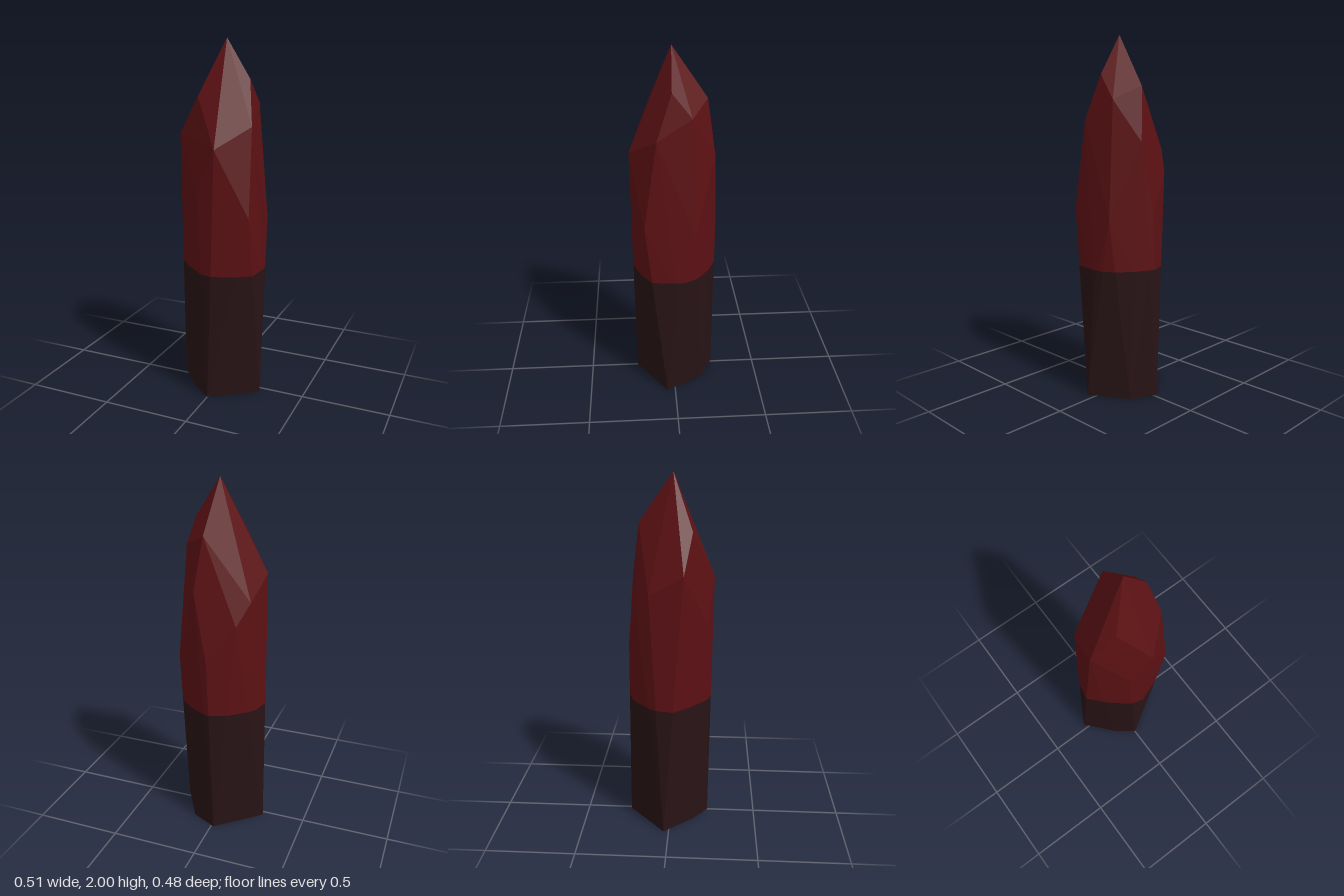
import * as THREE from 'three';
import { ConvexGeometry } from 'three/addons/geometries/ConvexGeometry.js';

const CUT = 0.74; // height where the dark base meets the red tip

// Corners of the cut stone
const corners = [
  // tip and its facets
  [0.03, 2, 0.01], [0.165, 1.79, 0.015], [0.18, 1.66, -0.09], [0.053, 1.73, -0.178],
  [-0.09, 1.7, 0.12], [0.208, 1.55, 0.095],
  // shoulder
  [-0.218, 1.49, 0.078], [0.053, 1.44, 0.238], [0.095, 1.44, -0.218],
  [-0.185, 1.38, -0.11], [-0.128, 1.26, -0.182], [-0.063, 1.2, 0.205],
  // girdle
  [0.222, 1.07, 0.165], [0.23, 1.02, -0.11], [0.02, 1.05, -0.24], [0.25, 0.65, -0.01],
  // six-sided foot
  [0, 0, 0.22], [0.255, 0, 0.045], [0.13, 0, -0.17],
  [-0.015, 0, -0.24], [-0.256, 0, -0.03], [-0.11, 0, 0.135],
].map((c) => new THREE.Vector3(...c));

// Keep only the part of a triangle soup above (side 1) or below (side -1) the cut
function clip(geometry, side) {
  const pos = geometry.getAttribute('position');
  const out = [];
  for (let i = 0; i < pos.count; i += 3) {
    const tri = [0, 1, 2].map((k) => new THREE.Vector3().fromBufferAttribute(pos, i + k));
    const poly = [];
    tri.forEach((a, k) => {
      const b = tri[(k + 1) % 3];
      const da = (a.y - CUT) * side;
      const db = (b.y - CUT) * side;
      if (da >= 0) poly.push(a);
      if (da * db < 0) poly.push(a.clone().lerp(b, da / (da - db)));
    });
    for (let k = 1; k + 1 < poly.length; k++) {
      for (const p of [poly[0], poly[k], poly[k + 1]]) out.push(p.x, p.y, p.z);
    }
  }
  const result = new THREE.BufferGeometry();
  result.setAttribute('position', new THREE.Float32BufferAttribute(out, 3));
  result.computeVertexNormals();
  return result;
}

export function createModel() {
  const group = new THREE.Group();
  group.name = 'crystalShard';
  const stone = new ConvexGeometry(corners);

  const addPart = (name, colorName, color, side) => {
    const material = new THREE.MeshStandardMaterial({ color });
    material.name = colorName;
    const mesh = new THREE.Mesh(clip(stone, side), material);
    mesh.name = name;
    group.add(mesh);
  };
  addPart('crystalTip', 'deepRed', 0x5c1114, 1);
  addPart('crystalBase', 'darkMaroon', 0x281315, -1);
  return group;
}
